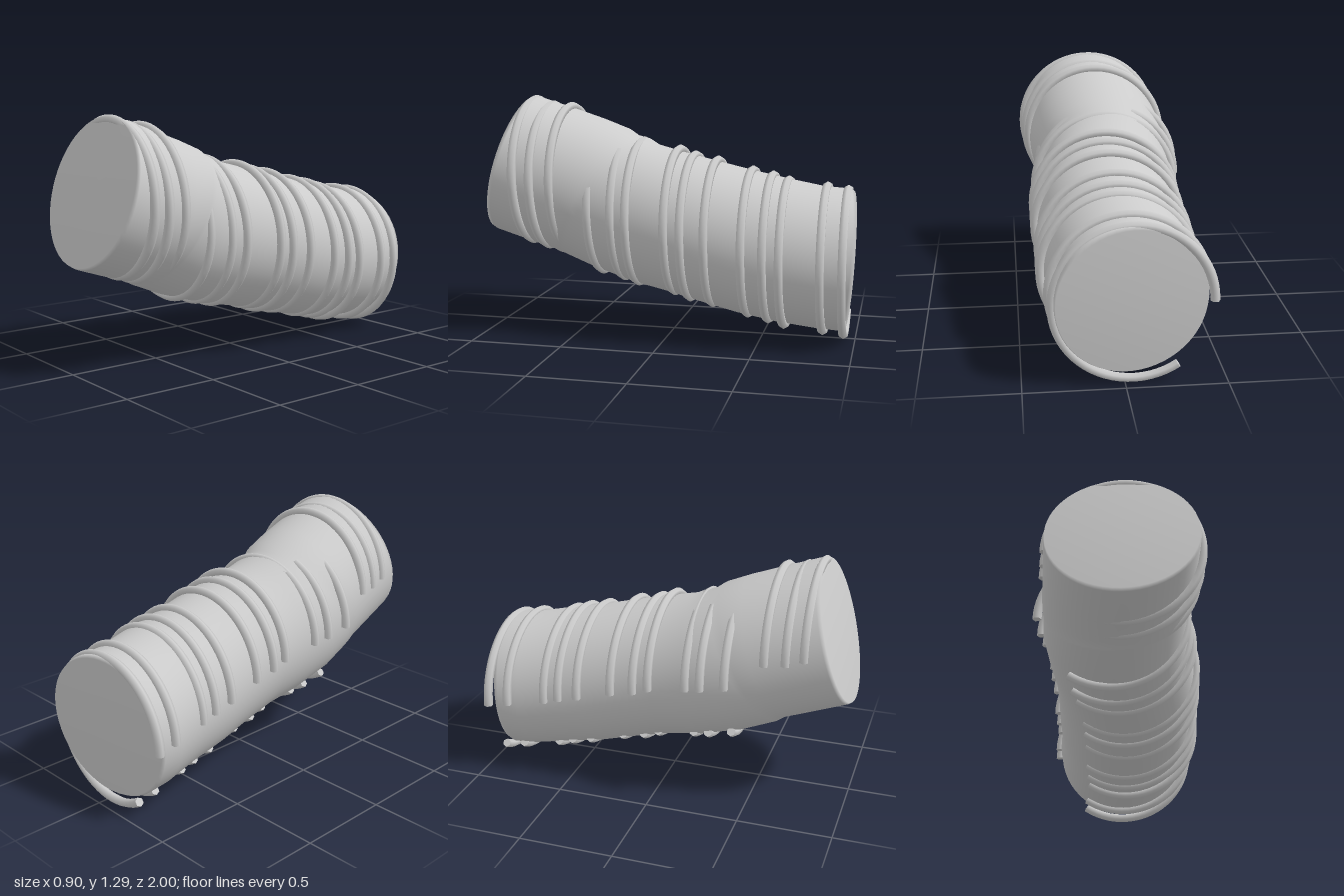
import * as THREE from 'three';
import { mergeGeometries } from 'three/addons/utils/BufferGeometryUtils.js';

const SIDES = 56;
const GAP_END = THREE.MathUtils.degToRad(236); // lower end of each open band
const ARC = THREE.MathUtils.degToRad(304);

// Cross-sections, back to front: centre x, y, z, half width, half height,
// and how far z leans per unit of x and of y.
const SECTIONS = [
  [-0.035, 0.43, -0.955, 0.370, 0.370, -0.12, -0.06],
  [-0.035, 0.43, -0.935, 0.376, 0.383, -0.12, -0.06],
  [-0.03, 0.44, -0.80, 0.378, 0.384, -0.06, -0.03],
  [-0.005, 0.475, -0.60, 0.380, 0.388, 0, -0.05],
  [0.0, 0.515, -0.40, 0.380, 0.388, 0, -0.08],
  [0.01, 0.56, -0.22, 0.380, 0.386, 0, -0.08],
  [0.01, 0.61, -0.02, 0.380, 0.384, 0, -0.08],
  [-0.01, 0.65, 0.16, 0.380, 0.382, 0, -0.15],
  [-0.025, 0.70, 0.30, 0.380, 0.362, 0, -0.40],
  [-0.02, 0.745, 0.42, 0.372, 0.335, 0, -0.60],
  [-0.01, 0.765, 0.45, 0.386, 0.350, 0, -0.52],
  [0.0, 0.80, 0.53, 0.390, 0.366, 0, -0.36],
  [0.015, 0.85, 0.68, 0.388, 0.376, 0, -0.28],
  [0.035, 0.914, 0.875, 0.384, 0.374, 0, -0.285],
  [0.035, 0.92, 0.895, 0.380, 0.368, 0, -0.285],
];

// Bands: centre x, y, z
const BANDS = [
  [0.035, 0.882, 0.78], [0.025, 0.853, 0.69], [0.01, 0.845, 0.585],
  [-0.04, 0.71, 0.395], [-0.03, 0.68, 0.265], [-0.01, 0.66, 0.18],
  [0.01, 0.62, -0.03], [0.01, 0.59, -0.115], [0.01, 0.565, -0.24],
  [0, 0.515, -0.43], [0, 0.49, -0.54], [0, 0.465, -0.625],
  [-0.03, 0.435, -0.83], [-0.04, 0.418, -0.94],
];

// Closed loft through the leaning cross-sections
function loft(sections) {
  const pos = [], index = [];
  for (const [cx, cy, cz, rx, ry, a, b] of sections) {
    for (let j = 0; j < SIDES; j++) {
      const t = (j / SIDES) * Math.PI * 2;
      const dx = rx * Math.cos(t), dy = ry * Math.sin(t);
      pos.push(cx + dx, cy + dy, cz + a * dx + b * dy);
    }
  }
  const last = sections.length - 1;
  const back = pos.length / 3, front = back + 1;
  pos.push(...sections[0].slice(0, 3), ...sections[last].slice(0, 3));
  for (let j = 0; j < SIDES; j++) {
    const k = (j + 1) % SIDES;
    for (let i = 0; i < last; i++) {
      const p = i * SIDES, q = p + SIDES;
      index.push(p + j, p + k, q + k, p + j, q + k, q + j);
    }
    index.push(back, k, j, front, last * SIDES + j, last * SIDES + k);
  }
  const geo = new THREE.BufferGeometry();
  geo.setAttribute('position', new THREE.Float32BufferAttribute(pos, 3));
  geo.setIndex(index);
  geo.computeVertexNormals();
  return geo;
}

// Open C-shaped band with closed ends
function bandGeometry(radius, thickness) {
  const ends = [0, 1].map((end) => new THREE.CircleGeometry(thickness, 6)
    .rotateX(end ? -Math.PI / 2 : Math.PI / 2)
    .translate(radius, 0, 0)
    .rotateZ(end * ARC));
  const ring = new THREE.TorusGeometry(radius, thickness, 6, 56, ARC);
  return mergeGeometries([ring, ...ends]).rotateZ(GAP_END);
}

export function createModel() {
  const model = new THREE.Group();
  model.name = 'bentTubeWithBands';
  const grey = new THREE.MeshStandardMaterial({ color: 0xcccccc });

  const tube = new THREE.Mesh(loft(SECTIONS), grey);
  tube.name = 'tube';
  model.add(tube);

  const bands = new THREE.Group();
  bands.name = 'bands';
  const geo = bandGeometry(0.39, 0.024);
  BANDS.forEach((centre, i) => {
    const band = new THREE.Mesh(geo, grey);
    band.name = `band${i + 1}`;
    band.position.set(...centre);
    bands.add(band);
  });
  model.add(bands);
  return model;
}
